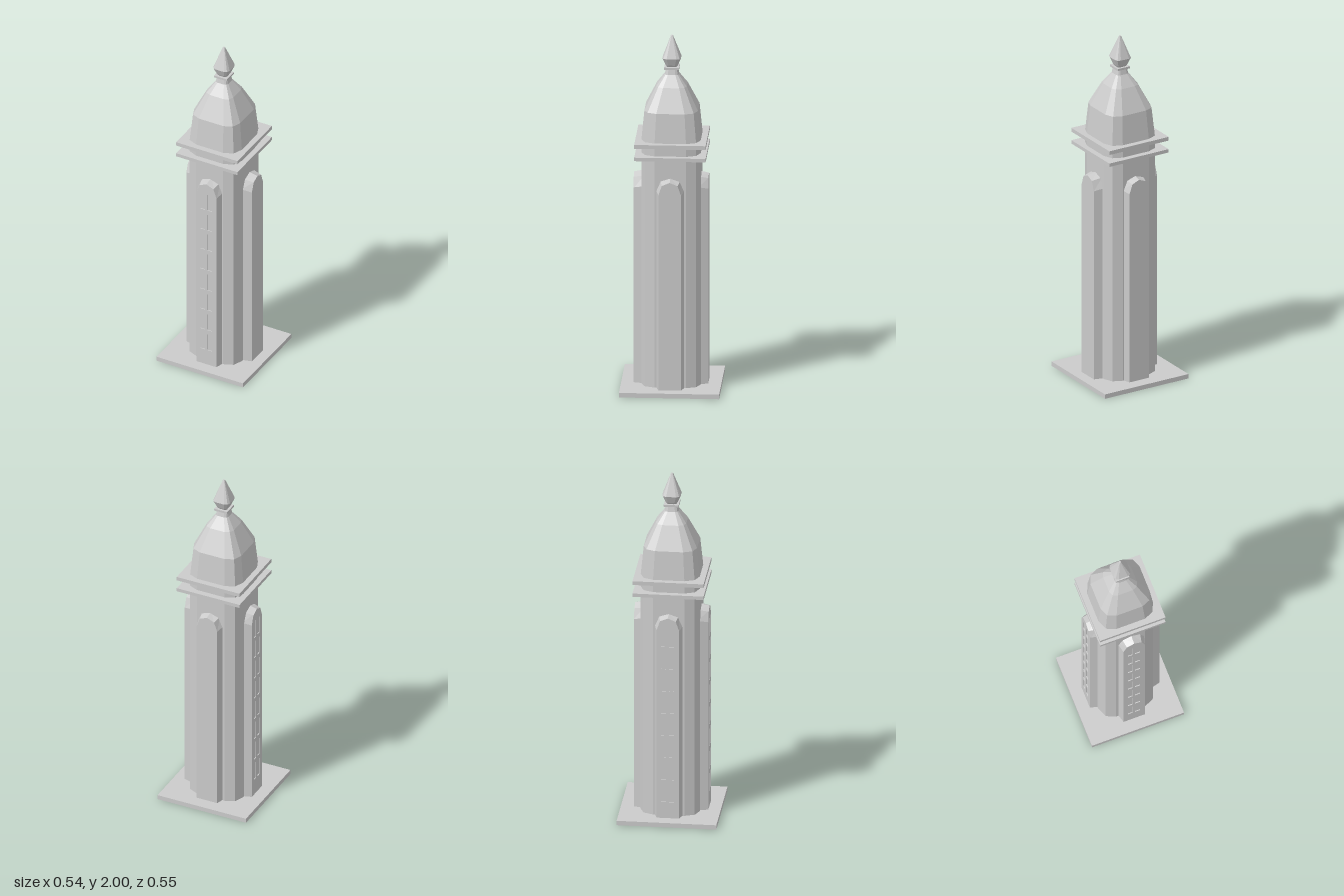
import * as THREE from 'three';

const material = new THREE.MeshStandardMaterial({ color: 0xcccccc, flatShading: true });

// Twelve-sided outline: a square whose corners are rounded in two steps
function ring(half, y) {
  const points = [], flat = half * 0.53, r = half - flat;
  for (let c = 0; c < 4; c++) {
    const mid = Math.PI / 4 + c * Math.PI / 2;
    const cx = Math.sign(Math.cos(mid)) * flat, cz = Math.sign(Math.sin(mid)) * flat;
    for (let s = 0; s < 3; s++) {
      const a = (c + s / 2) * Math.PI / 2;
      points.push(new THREE.Vector3(cx + r * Math.cos(a), y, (cz + r * Math.sin(a)) * 1.02));
    }
  }
  return points;
}

// Skin through [half width, height] sections, bottom to top, closed at both ends
function loft(sections) {
  const rings = sections.map(([half, y]) => ring(half, y));
  const tris = [], n = rings[0].length;
  for (let i = 0; i < rings.length - 1; i++) {
    const lo = rings[i], hi = rings[i + 1];
    for (let j = 0; j < n; j++) {
      const k = (j + 1) % n;
      tris.push(lo[j], hi[j], hi[k], lo[j], hi[k], lo[k]);
    }
  }
  const bottom = rings[0], top = rings[rings.length - 1];
  for (let j = 1; j < n - 1; j++) {
    tris.push(bottom[0], bottom[j], bottom[j + 1], top[0], top[j + 1], top[j]);
  }
  const geometry = new THREE.BufferGeometry().setFromPoints(tris);
  geometry.computeVertexNormals();
  return geometry;
}

// Slice of an arched panel that tapers from the wall (z0) to its outer face
const WALL = 0.15;
function panelSlice(from, to, outer, windows) {
  const shape = new THREE.Shape([
    [-0.078, 0.02], [0.078, 0.02], [0.078, 1.155], [0.054, 1.21], [0, 1.228], [-0.054, 1.21], [-0.078, 1.155],
  ].map(([x, y]) => new THREE.Vector2(x, y)));
  if (windows) {
    for (let row = 0; row < 8; row++) {
      for (const x of [-0.047, 0.007]) {
        const y = 0.121 + row * 0.132, w = 0.035, h = 0.105;
        shape.holes.push(new THREE.Path([
          new THREE.Vector2(x, y), new THREE.Vector2(x, y + h),
          new THREE.Vector2(x + w, y + h), new THREE.Vector2(x + w, y),
        ]));
      }
    }
  }
  const geometry = new THREE.ExtrudeGeometry(shape, { depth: to - from, bevelEnabled: false });
  geometry.translate(0, 0, from);
  const p = geometry.attributes.position;
  for (let i = 0; i < p.count; i++) {
    const t = (p.getZ(i) - WALL) / (outer - WALL);
    p.setX(i, p.getX(i) * (1 - 0.2 * t));
    if (p.getY(i) > 1.15) p.setY(i, p.getY(i) - 0.012 * t);
  }
  geometry.computeVertexNormals();
  return geometry;
}

export function createModel() {
  const group = new THREE.Group();
  const add = (name, geometry, parent = group) => {
    const mesh = new THREE.Mesh(geometry, material);
    mesh.name = name;
    parent.add(mesh);
    return mesh;
  };
  const plate = (name, w, d, y0, y1) =>
    add(name, new THREE.BoxGeometry(w, y1 - y0, d).translate(0, (y0 + y1) / 2, 0));

  // Base, shaft and the two cornice slabs
  plate('base', 0.54, 0.55, 0, 0.026);
  add('shaft', loft([[0.16, 0.02], [0.16, 1.415]]));
  plate('lowerCornice', 0.384, 0.392, 1.332, 1.352);
  plate('upperCornice', 0.384, 0.392, 1.403, 1.425);

  // Dome, collar and pointed finial
  add('dome', loft([[0.16, 1.42], [0.144, 1.59], [0.082, 1.72], [0.038, 1.782], [0.031, 1.815]]));
  plate('collar', 0.08, 0.082, 1.812, 1.824);
  add('finial', loft([[0.026, 1.822], [0.033, 1.834], [0.05, 1.875], [0.005, 2]]));

  // Arched panels on four sides; the front and right ones carry recessed windows
  const sides = [
    ['frontPanel', 0, 0.207, 0.004, true],
    ['leftPanel', Math.PI / 2, 0.209, 0, false],
    ['backPanel', Math.PI, 0.203, -0.004, false],
    ['rightPanel', -Math.PI / 2, 0.201, 0, true],
  ];
  for (const [name, angle, outer, shift, windows] of sides) {
    const panel = new THREE.Group();
    panel.name = name;
    panel.rotation.y = angle;
    const split = windows ? outer - 0.005 : outer;
    const body = add(name + 'Body', panelSlice(WALL, split, outer, false), panel);
    body.position.x = shift;
    if (windows) {
      const face = add(name + 'WindowFace', panelSlice(split, outer, outer, true), panel);
      face.position.x = shift;
    }
    group.add(panel);
  }
  return group;
}
